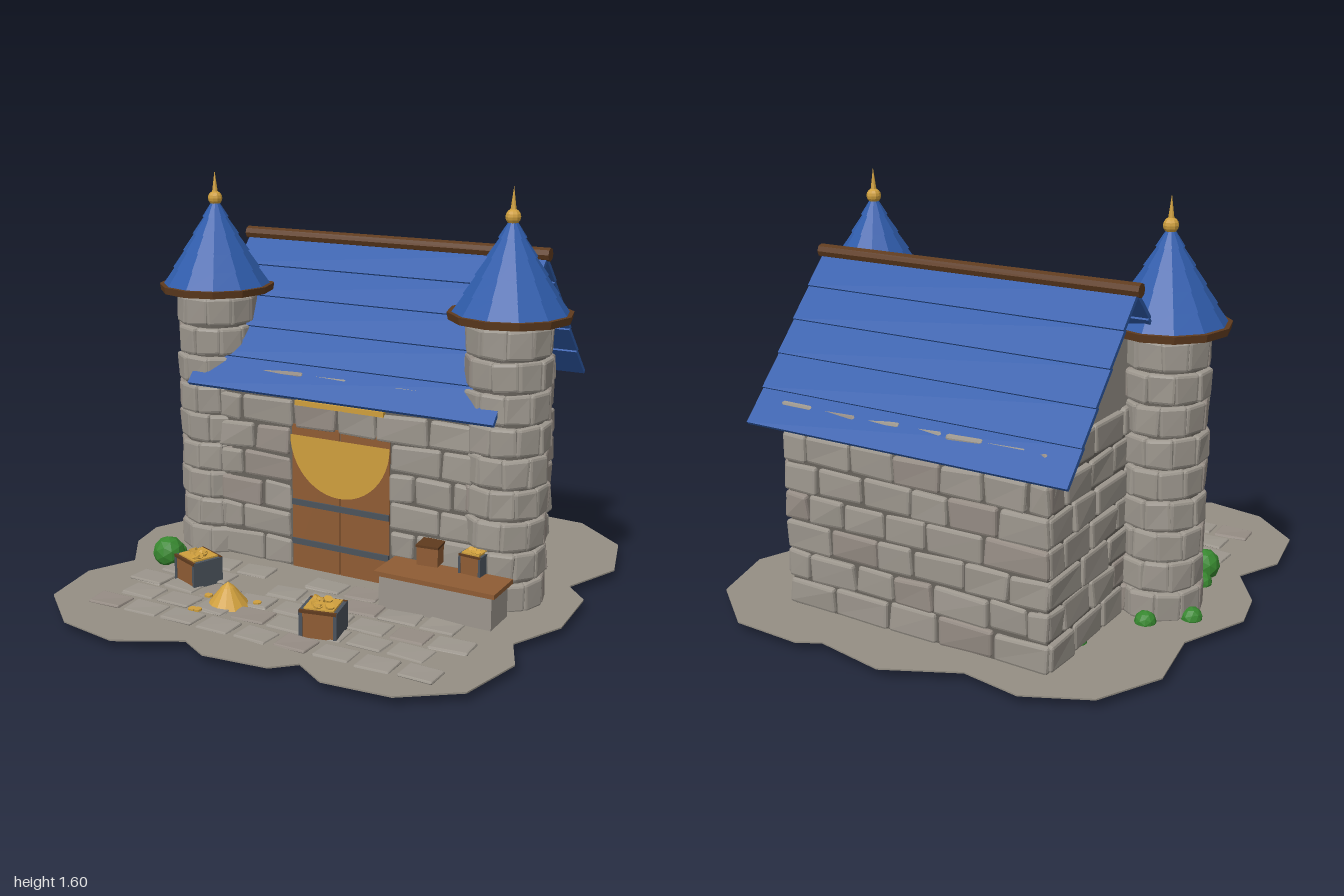
import * as THREE from 'three';
import { mergeGeometries } from 'three/addons/utils/BufferGeometryUtils.js';
import { RoundedBoxGeometry } from 'three/addons/geometries/RoundedBoxGeometry.js';

const paint = (name, color) => Object.assign(new THREE.MeshStandardMaterial({ color }), { name });

export function createModel() {
  const root = new THREE.Group();
  root.name = 'castleShop';
  const stone = paint('stone', 0x9c968d), warmStone = paint('warmStone', 0x958c84);
  const earth = paint('earth', 0x958f84), mortar = paint('mortar', 0x68635c);
  const blue = paint('roofBlue', 0x2f5cab), trim = paint('darkWood', 0x5f3b1e);
  const wood = paint('wood', 0x8f5c34), gold = paint('gold', 0xcf9f3d);
  const iron = paint('iron', 0x4b535c), leaf = paint('leaf', 0x37872f);

  let seed = 11;
  const rnd = (a = 0, b = 1) => {
    seed = (seed * 16807) % 2147483647;
    return a + (b - a) * seed / 2147483647;
  };
  // faceted copy of a geometry
  const flat = g => {
    const f = g.index ? g.toNonIndexed() : g;
    f.computeVertexNormals();
    return f;
  };
  const add = (parent, name, geo, mat, x = 0, y = 0, z = 0) => {
    const m = new THREE.Mesh(flat(geo), mat);
    m.name = name;
    m.position.set(x, y, z);
    parent.add(m);
    return m;
  };
  const group = (parent, name, x = 0, y = 0, z = 0, ry = 0) => {
    const g = new THREE.Group();
    g.name = name;
    g.position.set(x, y, z);
    g.rotation.y = ry;
    parent.add(g);
    return g;
  };
  const box = (w, h, d) => new THREE.BoxGeometry(w, h, d);
  const cyl = (a, b, h, n) => new THREE.CylinderGeometry(a, b, h, n);

  // chamfered block, slightly skewed so no two are alike
  const block = (w, h, d, wobble = 0.005) => {
    const g = new RoundedBoxGeometry(w, h, d, 1, Math.min(0.011, h * 0.4, d * 0.4));
    const p = g.attributes.position;
    const off = Array.from({ length: 8 }, () => [0, 1, 2].map(() => rnd(-wobble, wobble)));
    for (let i = 0; i < p.count; i++) {
      const k = (p.getX(i) > 0 ? 1 : 0) + (p.getY(i) > 0 ? 2 : 0) + (p.getZ(i) > 0 ? 4 : 0);
      p.setXYZ(i, p.getX(i) + off[k][0], p.getY(i) + off[k][1], p.getZ(i) + off[k][2]);
    }
    return g;
  };
  const addStones = (parent, name, list) => [stone, warmStone].forEach((mat, k) => {
    const part = list.filter((g, i) => (i % 5 === 3) === (k === 1));
    add(parent, name, mergeGeometries(part), mat);
  });

  // ground slab with a wavy rim
  const rim = [[0, -1], [.28, -.945], [.37, -.99], [.65, -.975], [.875, -.79], [.95, -.51], [.85, -.26],
    [.945, -.16], [.96, .12], [.86, .335], [.93, .49], [.87, .755], [.67, .9], [.41, .92], [.285, .84],
    [.205, .915], [-.05, .94], [-.165, .875], [-.4, 1], [-.65, .955], [-.85, .78], [-.89, .525], [-.8, .34],
    [-.925, .155], [-.96, -.02], [-.84, -.285], [-.88, -.56], [-.75, -.8], [-.51, -.91], [-.275, -.87]];
  const slab = new THREE.ExtrudeGeometry(new THREE.Shape(rim.map(([x, z]) => new THREE.Vector2(x, -z))),
    { depth: 0.006, bevelEnabled: false }).rotateX(-Math.PI / 2);
  add(root, 'ground', slab, earth, 0, 0.033, 0);

  // paving in staggered rows, with gaps near the building
  const paving = [];
  [0.21, 0.335, 0.46, 0.585, 0.715].forEach((z, r) => {
    for (let i = 0; i < 9; i++) {
      const x = -0.62 + i * 0.163 + (r % 2) * 0.06;
      if (x > 0.7 || (r === 0 && (i % 3 === 0 || i > 6)) || (r === 1 && i === 2)) continue;
      paving.push(block(rnd(0.13, 0.152), 0.016, 0.104, 0.003)
        .rotateY(rnd(-0.07, 0.07)).translate(x, 0.039, z + rnd(-0.006, 0.006)));
    }
  });
  addStones(root, 'pavingStones', paving);

  // hall: mortar core, gable prism and four coursed stone faces
  const X0 = 0.02, RIDGE = -0.335, HALF = 0.565, DEEP = 0.42, ROWS = 7, RH = 0.116;
  const hall = group(root, 'hall', X0, 0, RIDGE);
  add(hall, 'hallCore', box(HALF * 2 - 0.03, 0.8, DEEP * 2 - 0.03), mortar, 0, 0.43, 0);
  const gable = new THREE.Shape([[-0.39, 0.84], [0.39, 0.84], [0, 1.285]].map(p => new THREE.Vector2(...p)));
  add(hall, 'gable', new THREE.ExtrudeGeometry(gable, { depth: 1.09, bevelEnabled: false })
    .translate(0, 0, -0.545).rotateY(-Math.PI / 2), stone);

  const wall = (name, half, dist, ry, doorway) => {
    const face = group(hall, name, 0, 0, 0, ry), list = [];
    for (let r = 0; r < ROWS; r++) {
      const spans = doorway && r < 5 ? [[-half, -0.225], [0.215, half]] : [[-half, half]];
      for (const [a, b] of spans) {
        let u = a, first = true;
        while (u < b - 0.01) {
          let w = first && r % 2 ? 0.11 : rnd(0.15, 0.24);
          if (b - u - w < 0.08) w = b - u;
          list.push(block(w - 0.01, RH - 0.01, 0.06)
            .translate(u + w / 2, 0.037 + RH * (r + 0.5), dist - 0.03 + rnd(-0.004, 0.006)));
          u += w;
          first = false;
        }
      }
    }
    addStones(face, name + 'Stones', list);
  };
  wall('frontWall', HALF, DEEP, 0, true);
  wall('backWall', HALF, DEEP, Math.PI);
  wall('leftWall', DEEP - 0.005, HALF, Math.PI / 2);
  wall('rightWall', DEEP - 0.005, HALF, -Math.PI / 2);

  // double door with straps and a round gold panel
  const door = group(root, 'door', 0.015, 0, 0.07);
  for (const s of [-1, 1]) add(door, 'doorLeaf', box(0.215, 0.6, 0.02), wood, s * 0.1095, 0.335, -0.005);
  for (const y of [0.15, 0.315]) add(door, 'doorStrap', box(0.435, 0.024, 0.01), iron, 0, y, 0.007);
  add(door, 'goldPanel', new THREE.CircleGeometry(0.235, 24, Math.PI, Math.PI).scale(0.94, 1, 1),
    gold, 0, 0.595, 0.0135).material.side = THREE.DoubleSide;
  add(door, 'goldLintel', box(0.39, 0.02, 0.03), gold, 0, 0.727, 0.005);

  // roof: five overlapping boards on each slope and a ridge beam
  const angle = Math.atan2(0.545, 0.48), N = 5;
  for (const s of [1, -1]) {
    const slope = group(root, s > 0 ? 'frontRoof' : 'backRoof', X0, 0, RIDGE, s > 0 ? 0 : Math.PI);
    for (let i = 0; i < N; i++) {
      const t = (i + 0.5) / N;
      add(slope, 'roofBoard', box(1.33, 0.016, 0.155), blue, 0, 1.308 - 0.545 * t, 0.477 * t)
        .rotation.x = angle - 0.05;
    }
  }
  add(root, 'ridgeBeam', cyl(0.026, 0.026, 1.355, 8).rotateZ(Math.PI / 2), trim, X0, 1.318, RIDGE);

  // corner towers with tiered cone roofs
  for (const x of [-0.625, 0.66]) {
    const tower = group(root, 'tower', x, 0, -0.042), list = [];
    add(tower, 'towerCore', cyl(0.14, 0.14, 1.09, 16), mortar, 0, 0.575, 0);
    for (let r = 0; r < 9; r++) for (let i = 0; i < 10; i++) {
      list.push(block(0.1, 0.111, 0.05, 0.004).translate(0, 0.09 + r * 0.12, 0.132 + rnd(-0.004, 0.004))
        .rotateY((i + (r % 2) / 2) * Math.PI / 5));
    }
    addStones(tower, 'towerStones', list);
    add(tower, 'towerBrim', cyl(0.233, 0.228, 0.028, 12), trim, 0, 1.132, 0);
    for (let i = 0; i < 5; i++) {
      const r = 0.217 - i * 0.041;
      add(tower, 'coneTier', cyl(Math.max(r - 0.049, 0.008), r, 0.07, 12), blue, 0, 1.179 + i * 0.068, 0);
    }
    add(tower, 'finialBall', new THREE.SphereGeometry(0.029, 10, 8), gold, 0, 1.49, 0);
    add(tower, 'finialSpike', new THREE.ConeGeometry(0.013, 0.095, 8), gold, 0, 1.553, 0);
  }

  // market counter
  const counter = group(root, 'counter', 0.523, 0, 0.205);
  add(counter, 'counterBase', box(0.455, 0.135, 0.15), stone, 0, 0.1, 0);
  add(counter, 'counterTop', box(0.485, 0.018, 0.175), wood, 0, 0.176, 0);

  // crates, some heaped with coins
  const crate = (x, y, z, w, h, ry, filled) => {
    const c = group(root, 'crate', x, y, z, ry);
    add(c, 'crateBody', box(w * 0.94, h, w * 0.9), wood, 0, h / 2, 0);
    if (!filled) {
      add(c, 'crateLid', box(w, h * 0.12, w), trim, 0, h, 0);
      return;
    }
    for (const s of [-1, 1]) {
      add(c, 'crateSide', box(w * 0.1, h * 1.02, w * 0.94), iron, s * w * 0.46, h / 2, 0);
      add(c, 'crateRim', box(w, h * 0.1, w * 0.08), trim, 0, h * 0.97, s * w * 0.44);
    }
    add(c, 'coinBed', box(w * 0.8, 0.01, w * 0.78), gold, 0, h + 0.002, 0);
    for (let i = 0; i < 7; i++) {
      add(c, 'coin', cyl(w * 0.12, w * 0.12, w * 0.07, 8), gold,
        rnd(-0.28, 0.28) * w, h + rnd(0.08, 0.13) * w, rnd(-0.28, 0.28) * w)
        .rotation.set(rnd(-0.6, 0.6), 0, rnd(-0.6, 0.6));
    }
  };
  crate(-0.445, 0.034, 0.392, 0.14, 0.108, -0.4, true);
  crate(0.228, 0.034, 0.578, 0.14, 0.108, 0.2, true);
  crate(0.43, 0.185, 0.115, 0.09, 0.076, 0.1, false);
  crate(0.612, 0.185, 0.12, 0.09, 0.075, -0.08, true);

  // coin heap and loose coins
  add(root, 'coinHeap', cyl(0.025, 0.086, 0.075, 14), gold, -0.213, 0.071, 0.53);
  add(root, 'coinHeapTop', new THREE.ConeGeometry(0.025, 0.02, 14), gold, -0.213, 0.1185, 0.53);
  for (const [x, z] of [[-0.29, 0.655], [-0.11, 0.49], [-0.31, 0.52], [-0.27, 0.65]]) {
    add(root, 'looseCoin', cyl(0.016, 0.016, 0.008, 8), gold, x, 0.05, z);
  }

  // bushes around the base, their tips reaching just under the slab
  const bushes = [[-.67, .28, .065], [-.695, .195, .045], [-.65, -.215, .042], [-.785, -.1, .042],
    [-.51, -.48, .034], [-.37, -.62, .034], [-.137, -.7, .038], [.2, -.7, .038], [.58, -.41, .042]];
  for (const [x, z, r] of bushes) {
    add(root, 'bush', new THREE.IcosahedronGeometry(r, 1).rotateY(x * 9), leaf, x, r + (r > 0.06 ? 0.015 : 0), z);
  }
  return root;
}
